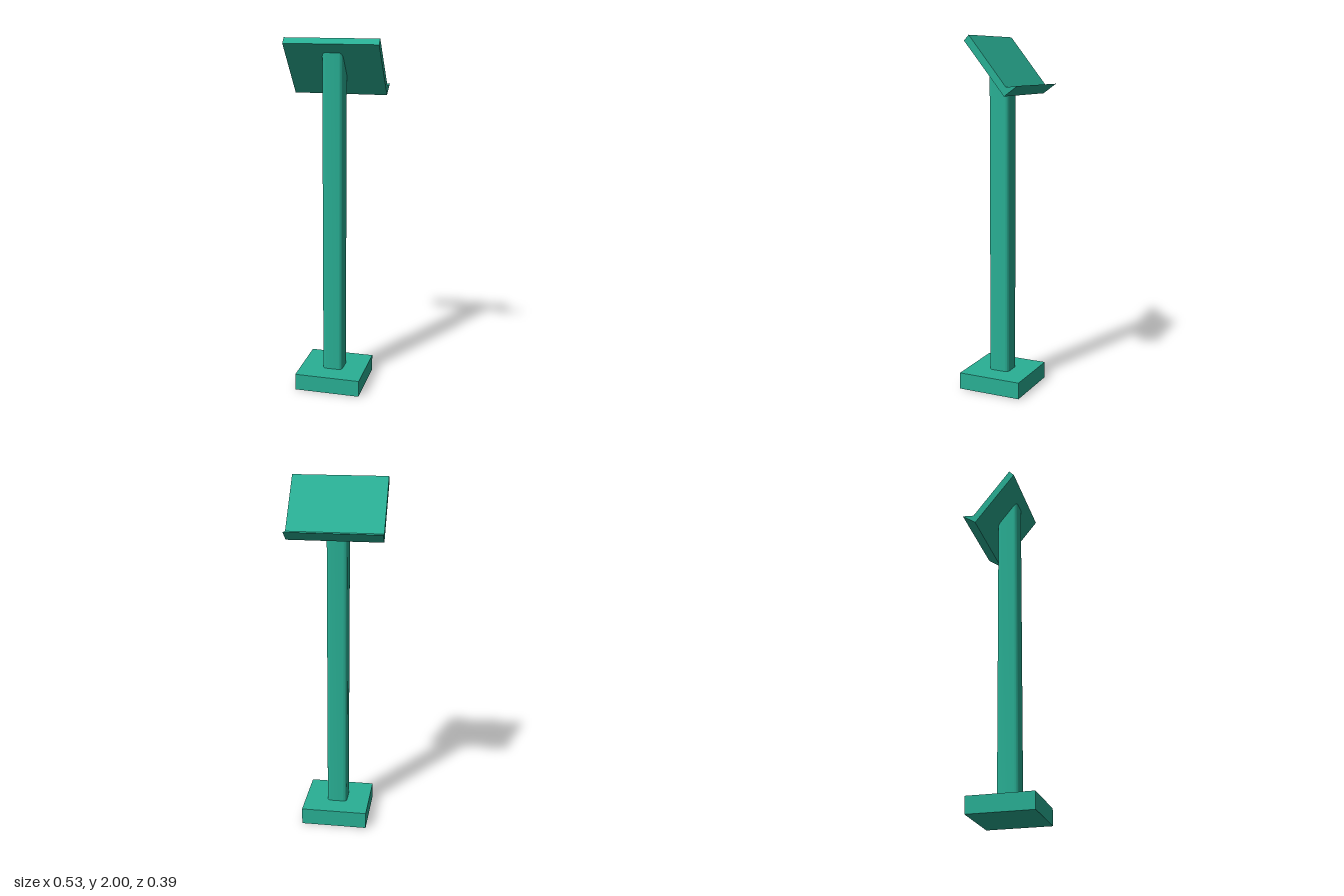
import * as THREE from 'three';
import { toCreasedNormals } from 'three/addons/utils/BufferGeometryUtils.js';

const material = new THREE.MeshStandardMaterial({ color: 0x29b095 });

// Height of the tilted desk's underside at depth z
const undersideAt = (z) => 1.683 + (z + 0.122) * 1.232;

function part(name, geometry) {
  const mesh = new THREE.Mesh(geometry, material);
  mesh.name = name;
  return mesh;
}

// Square outline with rounded corners, centred on the origin
function roundedRect(w, h, r) {
  const x = w / 2 - r, y = h / 2 - r;
  const s = new THREE.Shape();
  s.absarc(x, y, r, 0, Math.PI / 2);
  s.absarc(-x, y, r, Math.PI / 2, Math.PI);
  s.absarc(-x, -y, r, Math.PI, Math.PI * 1.5);
  s.absarc(x, -y, r, Math.PI * 1.5, Math.PI * 2);
  s.closePath();
  return s;
}

// Rounded square column whose top is cut to meet the sloping desk
function postGeometry() {
  const g = new THREE.ExtrudeGeometry(roundedRect(0.116, 0.12, 0.022), {
    depth: 1, bevelEnabled: false, curveSegments: 5,
  });
  g.rotateX(-Math.PI / 2);
  g.translate(-0.002, 0, 0.012);
  const p = g.attributes.position;
  for (let i = 0; i < p.count; i++) {
    p.setY(i, p.getY(i) > 0.5 ? undersideAt(p.getZ(i)) : 0.09);
  }
  return toCreasedNormals(g, 0.6);
}

// Sloping desk with a tapered ledge, one profile in (z, y) swept across x
function deskGeometry() {
  const profile = new THREE.Shape([
    [-0.122, 1.683], [0.111, 1.97], [0.083, 2.0],
    [-0.133, 1.731], [-0.198, 1.738],
  ].map(([z, y]) => new THREE.Vector2(z, y)));
  const g = new THREE.ExtrudeGeometry(profile, { depth: 0.527, bevelEnabled: false });
  g.rotateY(-Math.PI / 2);
  g.translate(0.262, 0, 0);
  return g;
}

export function createModel() {
  const group = new THREE.Group();
  group.name = 'lectern';

  // Square foot
  const base = part('base', new THREE.BoxGeometry(0.376, 0.095, 0.371));
  base.position.set(-0.002, 0.0475, 0.0105);

  group.add(base, part('post', postGeometry()), part('desk', deskGeometry()));
  return group;
}
